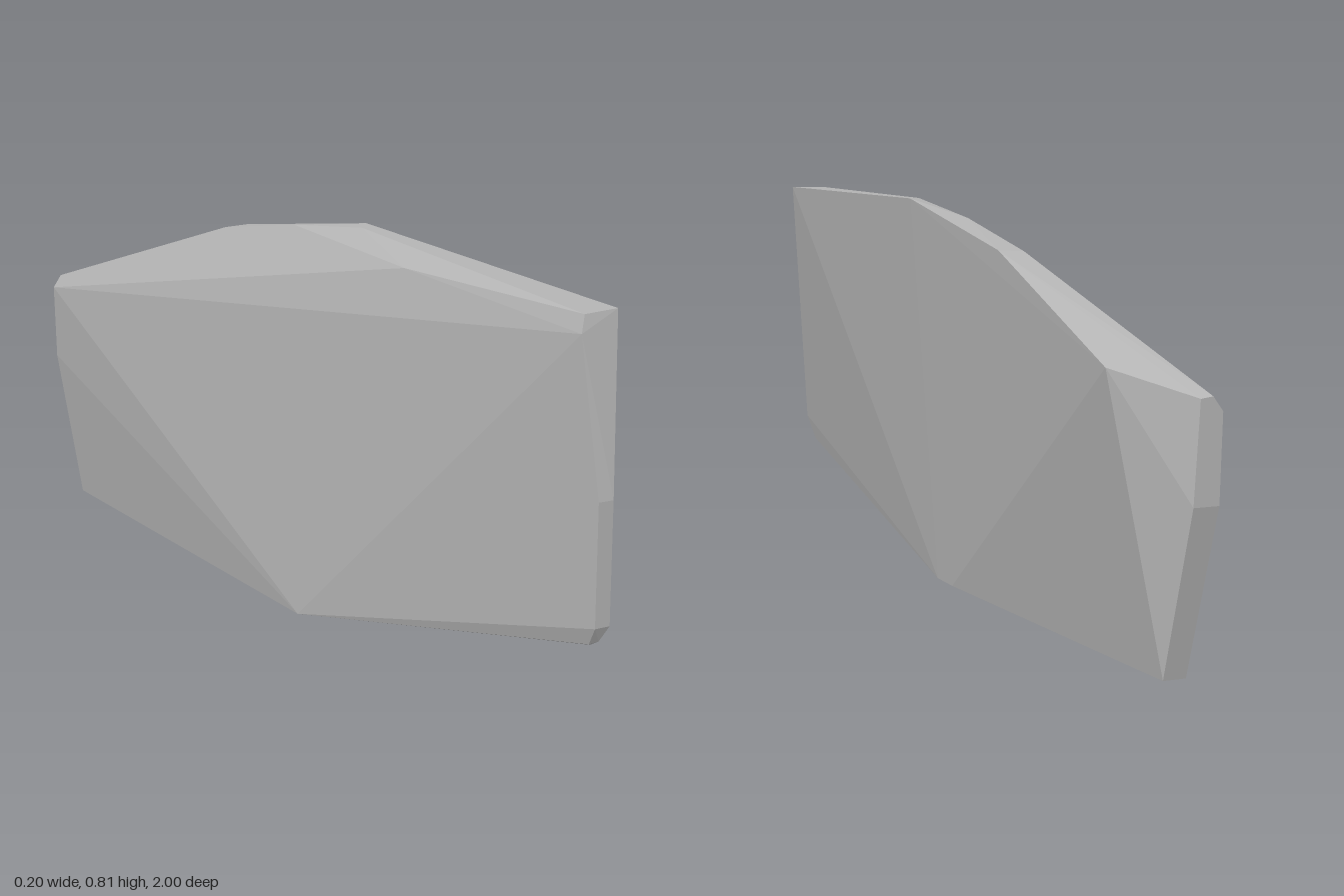
import * as THREE from 'three';
import { ConvexGeometry } from 'three/addons/geometries/ConvexGeometry.js';

export function createModel() {
  const group = new THREE.Group();
  group.name = 'stoneSlab';
  const stone = new THREE.MeshStandardMaterial({ color: 0xb4b4b4, flatShading: true });
  stone.name = 'grey stone';

  // Corners of the faceted slab, grouped by region
  const corners = {
    base: [[-0.1, 0, 0.14], [0.078, 0, 0], [0.078, 0, -0.08], [0.022, 0, -0.93], [-0.025, 0, -0.93]],
    nose: [
      [0.015, 0.44, 1], [-0.018, 0.44, 0.998], [0.015, 0.2, 1], [-0.018, 0.2, 0.998],
      [0.012, 0.15, 0.95], [-0.012, 0.163, 0.975], [0, 0.17, 0.988],
    ],
    frontTop: [[0.072, 0.775, 0.93], [-0.006, 0.773, 0.93], [-0.02, 0.74, 0.94]],
    ridge: [
      [0.098, 0.805, 0.1], [0.066, 0.803, 0.13], [0, 0.765, 0.37],
      [0.05, 0.777, -0.1], [0.046, 0.732, -0.37], [0.097, 0.735, -0.36],
    ],
    rear: [
      [0.096, 0.565, -0.835], [-0.01, 0.525, -1], [-0.035, 0.528, -1],
      [-0.055, 0.5, -1], [0.002, 0.33, -1], [-0.05, 0.33, -1],
    ],
  };
  const points = Object.values(corners).flat().map((p) => new THREE.Vector3(...p));

  // The slab is the tight faceted skin around its corners
  const slab = new THREE.Mesh(new ConvexGeometry(points), stone);
  slab.name = 'slab';
  group.add(slab);
  return group;
}
